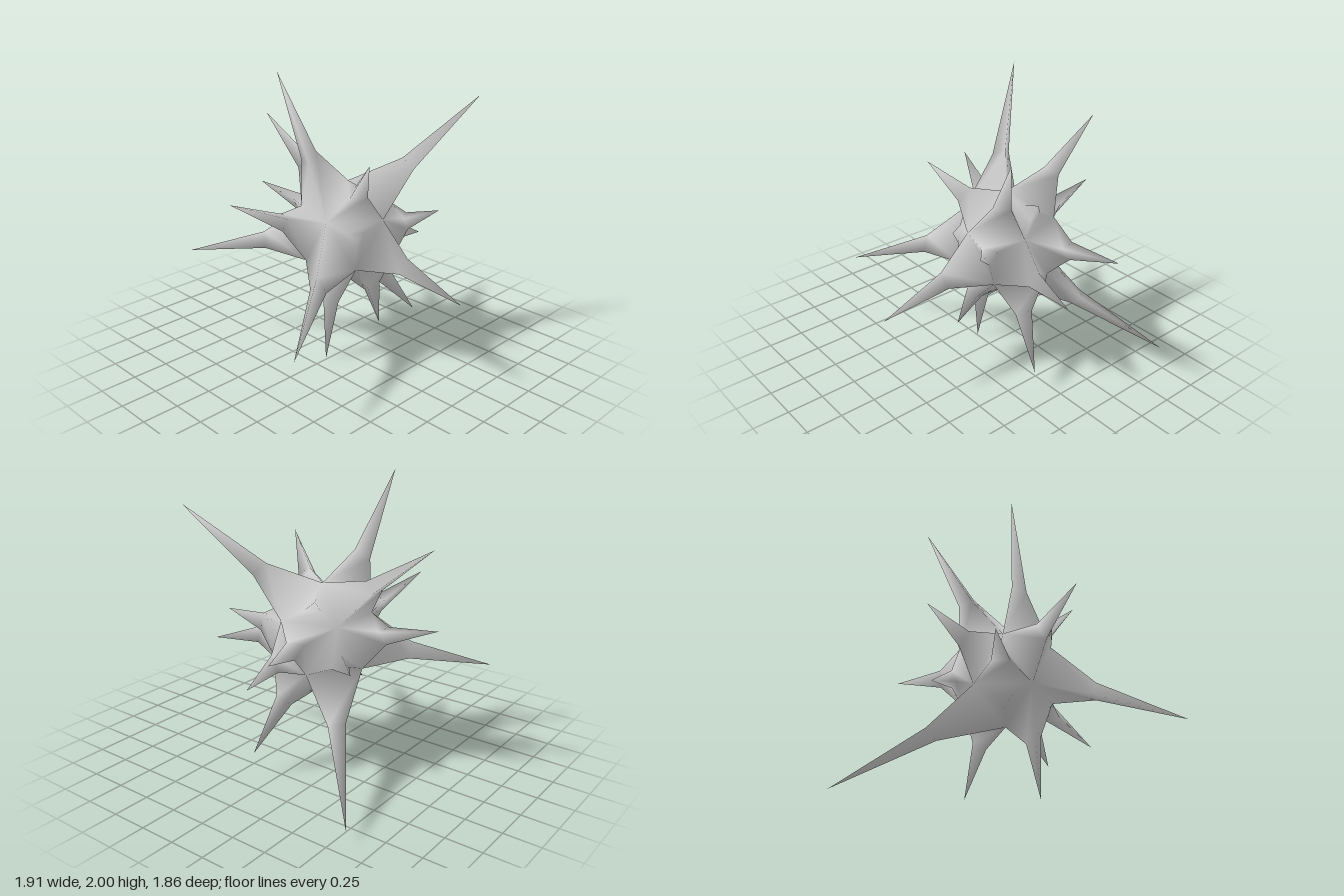
import * as THREE from 'three';

const CENTER = new THREE.Vector3(-0.05, 0.895, -0.11);
const RADIUS = 0.365;      // icosahedral core, its corners are the valleys
const KNEE_HEIGHT = 0.35;  // where each spike narrows, from base to tip
const KNEE_SCALE = 0.31;   // size of that narrow triangle against the base

// Spike tips in four rings of five, each ring running around y
const TIPS = {
  top: [[0.39, 1.51, 0.15], [0.51, 1.83, -0.8], [-0.15, 1.2, -0.32], [-0.87, 1.6, -0.09], [-0.39, 2, 0.21]],
  upper: [[0.24, 0.96, 0.1], [0.46, 1.08, -0.47], [-0.28, 0.99, -0.93], [-0.89, 1.08, -0.04], [-0.33, 1.21, 0.69]],
  lower: [[0.95, 0.66, -0.11], [0.02, 0.71, -0.8], [-0.48, 0.8, -0.39], [-0.96, 0.68, 0.58], [0.53, 0.51, 0.93]],
  bottom: [[0.32, 0.34, -0.04], [0.13, 0.17, -0.63], [-0.83, 0.08, -0.91], [-0.26, 0.6, 0.06], [-0.01, 0, 0.15]],
};

function createSpikedBody() {
  const points = [];
  const index = [];
  const add = (p) => points.push(p) - 1;

  // Core corners: two poles and two staggered rings
  const corner = (y, degrees) => {
    const a = THREE.MathUtils.degToRad(degrees);
    const r = Math.sqrt(1 - y * y);
    return add(new THREE.Vector3(r * Math.sin(a), y, r * Math.cos(a)).multiplyScalar(RADIUS).add(CENTER));
  };
  const north = corner(1, 0);
  const south = corner(-1, 0);
  const up = [];
  const low = [];
  for (let k = 0; k < 5; k++) {
    up.push(corner(Math.sqrt(0.2), 18 + 72 * k));
    low.push(corner(-Math.sqrt(0.2), 54 + 72 * k));
  }

  // Spike on one core face: wide flared base, narrow knee, then a needle
  const addSpike = (base, tipPosition) => {
    const tip = new THREE.Vector3(...tipPosition);
    const middle = new THREE.Vector3();
    base.forEach((i) => middle.addScaledVector(points[i], 1 / 3));
    const kneeCenter = middle.clone().lerp(tip, KNEE_HEIGHT);
    const knee = base.map((i) => add(points[i].clone().sub(middle).multiplyScalar(KNEE_SCALE).add(kneeCenter)));
    const top = add(tip);
    for (let i = 0; i < 3; i++) {
      const j = (i + 1) % 3;
      index.push(base[i], base[j], knee[j], base[i], knee[j], knee[i], knee[i], knee[j], top);
    }
  };

  for (let k = 0; k < 5; k++) {
    const n = (k + 1) % 5;
    addSpike([north, up[k], up[n]], TIPS.top[k]);
    addSpike([up[k], low[k], up[n]], TIPS.upper[k]);
    addSpike([low[k], low[n], up[n]], TIPS.lower[k]);
    addSpike([south, low[n], low[k]], TIPS.bottom[k]);
  }

  // Shared corners give smooth shading across the whole surface
  const geometry = new THREE.BufferGeometry().setFromPoints(points);
  geometry.setIndex(index);
  geometry.computeVertexNormals();
  return geometry;
}

export function createModel() {
  const group = new THREE.Group();
  group.name = 'spikedStar';
  const body = new THREE.Mesh(createSpikedBody(), new THREE.MeshStandardMaterial({ color: 0xcccccc }));
  body.name = 'spikedBody';
  group.add(body);
  return group;
}
